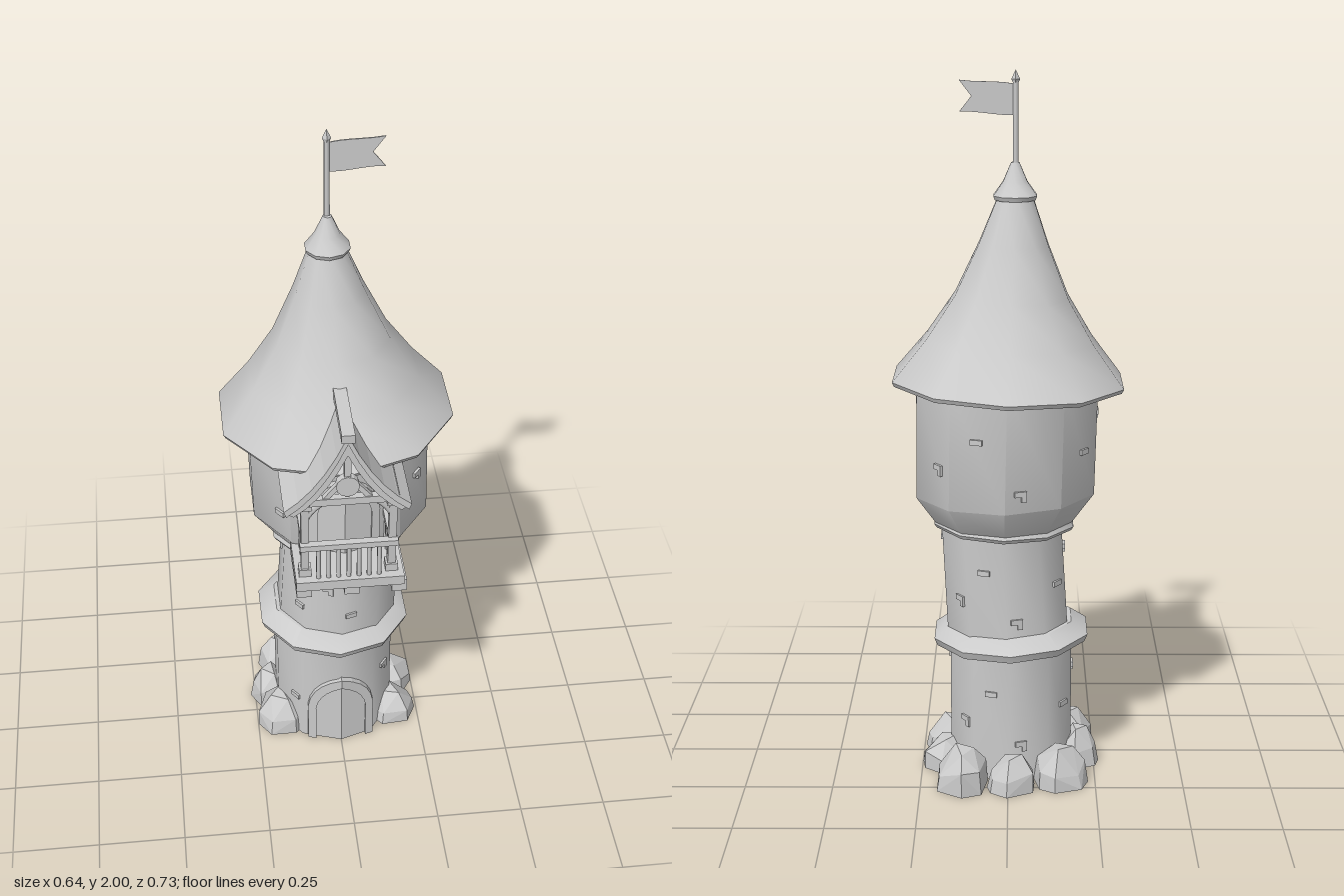
import * as THREE from 'three';
import { toCreasedNormals } from 'three/addons/utils/BufferGeometryUtils.js';
import { ConvexGeometry } from 'three/addons/geometries/ConvexGeometry.js';

const ZC = -0.03; // tower axis
const SLOPE = Math.tan(Math.PI / 10); // how far the ten-sided wall falls back beside its front corner
const smooth = new THREE.MeshStandardMaterial({ color: 0xcccccc });
const flat = new THREE.MeshStandardMaterial({ color: 0xcccccc, flatShading: true });
const thin = new THREE.MeshStandardMaterial({ color: 0xcccccc, flatShading: true, side: THREE.DoubleSide });

function add(parent, name, geometry, material = flat, x = 0, y = 0, z = 0) {
  const mesh = new THREE.Mesh(geometry, material);
  mesh.name = name;
  mesh.position.set(x, y, z);
  parent.add(mesh);
  return mesh;
}

const box = (parent, name, w, h, d, x, y, z) =>
  add(parent, name, new THREE.BoxGeometry(w, h, d), flat, x, y, z);

function group(parent, name) {
  const g = new THREE.Group();
  g.name = name;
  parent.add(g);
  return g;
}

// Ten-sided turned section; lean shifts x with height, tilt lifts one side
function section(parent, name, profile, cx, lean = 0, tilt = 0) {
  let geo = new THREE.LatheGeometry(profile.map(([r, y]) => new THREE.Vector2(r, y)), 10);
  const p = geo.attributes.position;
  const y0 = profile[0][1];
  for (let i = 0; i < p.count; i++) {
    const x = p.getX(i), y = p.getY(i);
    p.setXYZ(i, cx + x + lean * (y - y0), y + tilt * x, p.getZ(i) + ZC);
  }
  geo = toCreasedNormals(geo, 0.65);
  return add(parent, name, geo, smooth);
}

// Half of a pointed arch from the floor to its tip
function archPoints(w, spring, top, side) {
  const curve = new THREE.QuadraticBezierCurve(
    new THREE.Vector2(w * side, spring),
    new THREE.Vector2(w * 0.9 * side, top - 0.035),
    new THREE.Vector2(0, top));
  return [new THREE.Vector2(w * side, 0), ...curve.getPoints(5)];
}

// Extrudes a half arch and folds it back along the wall
function foldedHalf(points, depth) {
  const geo = new THREE.ExtrudeGeometry(new THREE.Shape(points), { depth, bevelEnabled: false });
  const p = geo.attributes.position;
  for (let i = 0; i < p.count; i++) p.setZ(i, p.getZ(i) - SLOPE * Math.abs(p.getX(i)));
  return geo;
}

function archedDoor(parent, name, y, z) {
  const door = group(parent, name);
  for (const side of [1, -1]) {
    const inner = archPoints(0.076, 0.13, 0.228, side);
    const frame = [...archPoints(0.1, 0.135, 0.26, side), ...inner.slice().reverse()];
    add(door, 'doorFrame', foldedHalf(frame, 0.04), flat, 0, y, z - 0.025);
    add(door, 'doorLeaf', foldedHalf([...inner, new THREE.Vector2(0, 0)], 0.02), flat, 0, y, z - 0.016);
  }
}

// Raised bricks scattered over the wall faces
function bricks(parent, cx, r, y0, y1, lean, skipFront) {
  const g = group(parent, 'bricks');
  for (let k = 0; k < 10; k++) {
    if (skipFront && (k === 0 || k === 9)) continue;
    const a = Math.PI / 10 + k * Math.PI / 5;
    const face = group(g, 'brickCluster');
    const y = y0 + (y1 - y0) * ((k * 0.382 + 0.15) % 1);
    face.position.set(cx + lean * (y - y0) + Math.sin(a) * r * 0.951, y, ZC + Math.cos(a) * r * 0.951);
    face.rotation.y = a;
    const t = ((k * 0.618) % 1 - 0.5) * r * 0.35;
    box(face, 'brick', 0.034, 0.015, 0.012, t, 0, 0);
    if (k % 2) box(face, 'brick', 0.014, 0.015, 0.012, t + 0.01, -0.015, 0);
  }
}

function rocks(parent) {
  let seed = 11;
  const rnd = () => (seed = (seed * 16807) % 2147483647) / 2147483647;
  const g = group(parent, 'rocks');
  const list = [
    [0.17, 0.04, 0.075, 0.1], [0.175, -0.09, 0.075, 0.1], [0.13, -0.24, 0.08, 0.12], [-0.01, -0.25, 0.07, 0.1],
    [-0.15, -0.21, 0.08, 0.12], [-0.2, -0.07, 0.065, 0.12], [-0.175, 0.05, 0.075, 0.13]];
  for (const [x, z, r, h] of list) {
    const pts = [];
    for (let i = 0; i < 7; i++) {
      const a = (i + 0.6 * rnd()) * Math.PI * 2 / 7;
      const dir = [Math.cos(a) * r, Math.sin(a) * r];
      pts.push(new THREE.Vector3(dir[0], 0, dir[1]));
      const s = 0.8 + 0.2 * rnd();
      pts.push(new THREE.Vector3(dir[0] * s, h * (0.3 + 0.3 * rnd()), dir[1] * s));
      if (i % 2) pts.push(new THREE.Vector3(dir[0] * 0.45, h * (0.85 + 0.15 * rnd()), dir[1] * 0.45));
    }
    add(g, 'rock', new ConvexGeometry(pts), flat, x, 0, z);
  }
}

function balcony(parent) {
  const g = group(parent, 'balcony');
  // floor on three beams
  box(g, 'balconyFloor', 0.3, 0.03, 0.2, 0.003, 0.808, 0.25);
  for (const x of [-0.125, 0.008, 0.14]) box(g, 'floorBeam', 0.042, 0.038, 0.2, x, 0.781, 0.24);

  // railing
  box(g, 'frontRail', 0.27, 0.018, 0.022, 0, 0.935, 0.33);
  const baluster = new THREE.CylinderGeometry(0.007, 0.007, 0.11, 6);
  for (let i = 0; i < 7; i++) add(g, 'baluster', baluster, smooth, -0.084 + i * 0.028, 0.875, 0.33);

  for (const s of [1, -1]) {
    const x = 0.12 * s;
    box(g, 'sideRail', 0.02, 0.018, 0.18, x, 0.935, 0.25);
    for (let i = 0; i < 4; i++) add(g, 'baluster', baluster, smooth, x, 0.875, 0.195 + i * 0.032);
    // roof post, leaning forward a little
    const post = box(g, 'post', 0.022, 0.28, 0.022, x, 0.955, 0.315);
    post.rotation.x = 0.07;
    box(g, 'postFoot', 0.034, 0.025, 0.034, x, 0.834, 0.307);
    box(g, 'postCapital', 0.036, 0.022, 0.036, x, 1.08, 0.325);
    box(g, 'wallPlate', 0.026, 0.022, 0.2, x, 1.1, 0.25);
    // curved brace from post to gable beam
    const brace = new THREE.QuadraticBezierCurve3(
      new THREE.Vector3(x, 1.02, 0.322), new THREE.Vector3(x * 0.85, 1.07, 0.326), new THREE.Vector3(x * 0.5, 1.09, 0.33));
    add(g, 'brace', new THREE.TubeGeometry(brace, 5, 0.009, 5), smooth);
    // struts holding the gable disc
    const strut = box(g, 'gableStrut', 0.014, 0.075, 0.016, 0.045 * s - 0.006, 1.122, 0.335);
    strut.rotation.z = 0.7 * s;
  }

  // gable ornament
  box(g, 'gableBeam', 0.25, 0.022, 0.022, 0, 1.096, 0.335);
  const disc = add(g, 'gableDisc', new THREE.CylinderGeometry(0.032, 0.032, 0.022, 12), flat, -0.006, 1.147, 0.338);
  disc.rotation.x = Math.PI / 2;
  box(g, 'kingPost', 0.018, 0.1, 0.018, -0.006, 1.22, 0.335);

  // curved gable roof and its front boards
  const slope = (w, top, eave) => new THREE.QuadraticBezierCurve(
    new THREE.Vector2(0, top), new THREE.Vector2(w * 0.42, top - (top - eave) * 0.72), new THREE.Vector2(w, eave)).getPoints(5);
  const chevron = (outer, inner) => {
    const half = [...outer.slice().reverse()];
    const flip = pts => pts.map(v => new THREE.Vector2(-v.x, v.y));
    return new THREE.Shape([...half, ...flip(outer).slice(1), ...flip(inner).reverse(), ...inner.slice(1)]);
  };
  const outer = slope(0.172, 1.322, 1.084);
  const extrude = (shape, depth) => new THREE.ExtrudeGeometry(shape, { depth, bevelEnabled: false });
  add(g, 'gableRoof', extrude(chevron(outer, slope(0.165, 1.295, 1.066)), 0.24), flat, -0.007, 0, 0.12);
  add(g, 'bargeboard', extrude(chevron(slope(0.168, 1.31, 1.076), slope(0.145, 1.255, 1.062)), 0.02), flat, -0.007, 0, 0.335);
  const ridge = box(g, 'ridgeBeam', 0.036, 0.026, 0.245, -0.007, 1.32, 0.243);
  ridge.rotation.x = 0.04;
}

export function createModel() {
  const tower = new THREE.Group();
  tower.name = 'tower';

  // crooked stone shaft
  section(tower, 'lowerWall', [[0, 0], [0.183, 0], [0.183, 0.39]], -0.008);
  section(tower, 'stoneRing', [[0.175, 0.365], [0.222, 0.38], [0.231, 0.402], [0.182, 0.437], [0.17, 0.437]], -0.008, 0, -0.03);
  section(tower, 'middleWall', [[0.181, 0.4], [0.178, 0.74]], 0, 0.055);
  section(tower, 'collar', [[0.17, 0.722], [0.2, 0.724], [0.207, 0.735], [0.2, 0.75]], 0.012, 0, 0.02);
  section(tower, 'upperWall', [[0.2, 0.74], [0.262, 0.827], [0.264, 1.17]], 0.01, -0.02, -0.025);
  bricks(tower, -0.008, 0.183, 0.1, 0.34, 0, true);
  bricks(tower, 0.004, 0.18, 0.47, 0.7, 0.055, false);
  bricks(tower, 0.008, 0.264, 0.87, 1.1, -0.02, true);

  // flared roof, cap, pole and flag
  section(tower, 'roof', [[0.2, 1.155], [0.33, 1.138], [0.336, 1.15], [0.243, 1.265], [0.165, 1.385], [0.1, 1.53], [0.048, 1.665]], 0, -0.04, 0.03);
  section(tower, 'roofCap', [[0.03, 1.655], [0.058, 1.65], [0.063, 1.662], [0.035, 1.7], [0.012, 1.752], [0, 1.755]], -0.019);
  add(tower, 'flagPole', new THREE.CylinderGeometry(0.008, 0.009, 0.24, 6), smooth, -0.02, 1.85, ZC - 0.003);
  const tip = add(tower, 'poleTip', new THREE.OctahedronGeometry(0.012), flat, -0.02, 1.975, ZC - 0.003);
  tip.scale.y = 2.1;
  const flag = new THREE.Shape();
  flag.moveTo(-0.015, 1.963);
  flag.bezierCurveTo(0.03, 1.972, 0.08, 1.966, 0.133, 1.973);
  flag.lineTo(0.1, 1.93);
  flag.lineTo(0.133, 1.888);
  flag.bezierCurveTo(0.08, 1.892, 0.03, 1.876, -0.015, 1.88);
  add(tower, 'flag', new THREE.ExtrudeGeometry(flag, { depth: 0.004, bevelEnabled: false, curveSegments: 5 }), thin, 0, 0, ZC - 0.005);

  archedDoor(tower, 'entrance', 0, 0.153);
  archedDoor(tower, 'balconyDoor', 0.825, 0.234);
  balcony(tower);
  rocks(tower);
  return tower;
}
